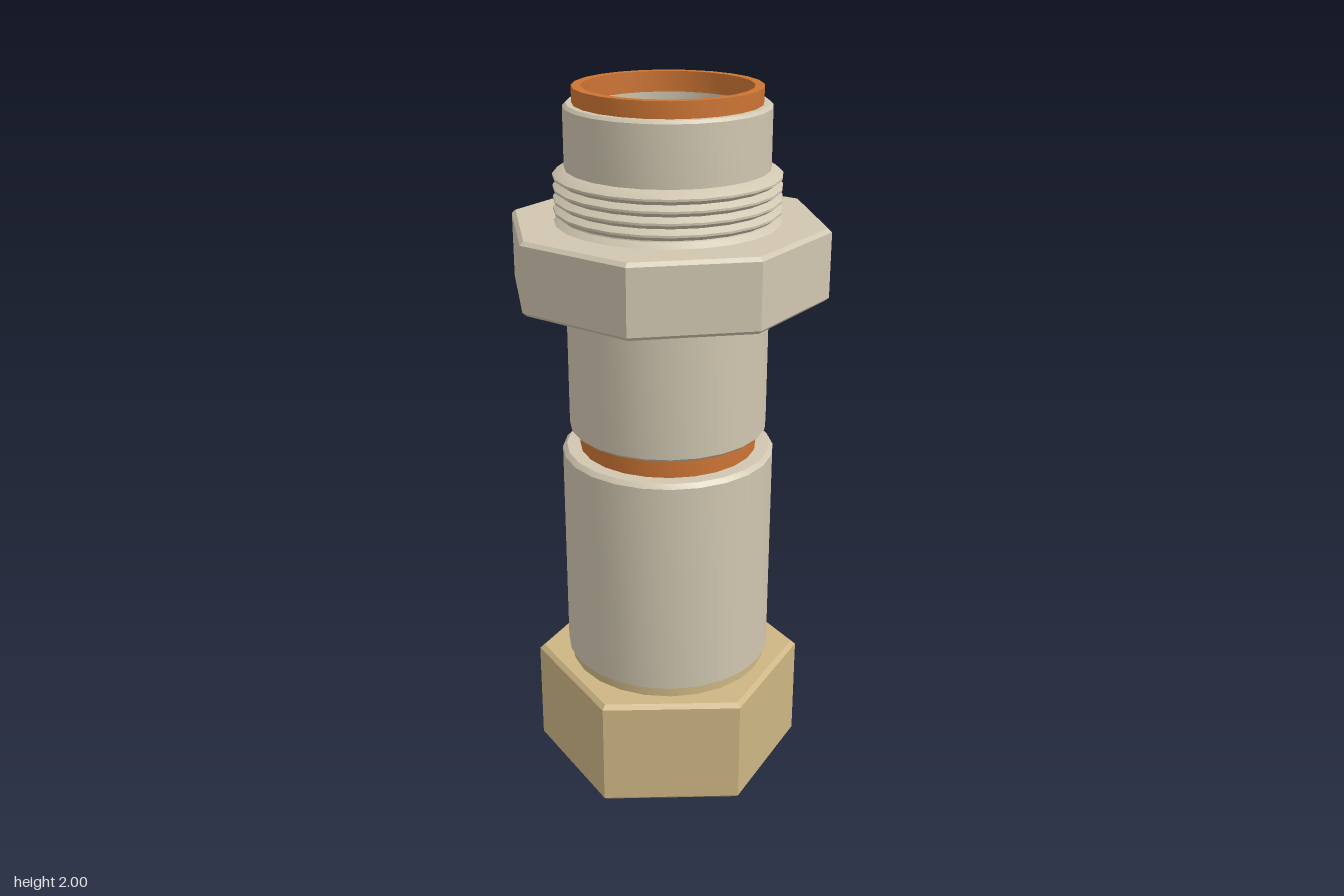
import * as THREE from 'three';
import { toCreasedNormals } from 'three/addons/utils/BufferGeometryUtils.js';

const material = (name, color) => {
  const m = new THREE.MeshStandardMaterial({ color });
  m.name = name;
  return m;
};

const CREASE = 0.5;
const SIDES = 24;

// Closed ring turned from a counter-clockwise [radius, height] profile
function turned(name, profile, mat) {
  const pts = [...profile, profile[0]].map(([r, y]) => new THREE.Vector2(r, y));
  const mesh = new THREE.Mesh(toCreasedNormals(new THREE.LatheGeometry(pts, SIDES), CREASE), mat);
  mesh.name = name;
  return mesh;
}

// Bevelled polygonal nut with a round hole, one corner pointing to +z
function nut(name, sides, radius, hole, y0, y1, bevel, mat) {
  const shape = new THREE.Shape();
  for (let i = 0; i < sides; i++) {
    const a = Math.PI / 2 + (i / sides) * Math.PI * 2;
    shape[i ? 'lineTo' : 'moveTo'](radius * Math.cos(a), radius * Math.sin(a));
  }
  shape.closePath();
  shape.holes.push(new THREE.Path().absarc(0, 0, hole, 0, Math.PI * 2, true));
  const geo = new THREE.ExtrudeGeometry(shape, {
    depth: y1 - y0 - 2 * bevel, curveSegments: SIDES / 2,
    bevelEnabled: true, bevelSegments: 1,
    bevelSize: bevel, bevelThickness: bevel, bevelOffset: -bevel,
  });
  geo.rotateX(-Math.PI / 2).translate(0, y0 + bevel, 0);
  const mesh = new THREE.Mesh(toCreasedNormals(geo, CREASE), mat);
  mesh.name = name;
  return mesh;
}

// Zigzag profile points of a thread, from y0 up to y1
function thread(root, crest, y0, y1, turns) {
  const pts = [];
  const pitch = (y1 - y0) / turns;
  for (let i = 0; i < turns; i++) {
    const y = y0 + i * pitch;
    pts.push([root, y], [crest, y + pitch * 0.4], [crest, y + pitch * 0.6]);
  }
  pts.push([root, y1]);
  return pts;
}

export function createModel() {
  const steel = material('warm grey metal', 0xd0c6b0);
  const brass = material('pale brass', 0xcdb684);
  const copper = material('copper', 0xcc7433);
  const group = new THREE.Group();
  group.name = 'pipeCoupling';

  // Hexagonal union nut with internal thread and collar
  group.add(nut('unionNut', 6, 0.39, 0.262, 0, 0.328, 0.012, brass));
  const inner = thread(0.26, 0.243, 0.02, 0.27, 7).reverse();
  group.add(turned('unionNutThread', [[0.264, 0.02], [0.264, 0.27], ...inner], brass));
  group.add(turned('nutCollar', [[0.255, 0.3], [0.29, 0.3], [0.29, 0.365], [0.255, 0.365]], brass));

  // Lower sleeve with its seating flange inside the nut
  group.add(turned('lowerSleeve', [
    [0.185, 0.28], [0.258, 0.28], [0.258, 0.36], [0.3, 0.36],
    [0.3, 0.988], [0.288, 1.0], [0.226, 1.0], [0.226, 0.34], [0.185, 0.34],
  ], steel));

  // Copper rings between the sleeves and at the mouth
  for (const [name, y0, y1] of [['middleRing', 0.99, 1.07], ['topRing', 1.945, 2]]) {
    group.add(turned(name, [[0.2255, y0], [0.25, y0], [0.25, y1], [0.2255, y1]], copper));
  }

  // Upper sleeve with external thread above the octagon
  group.add(turned('upperSleeve', [
    [0.227, 1.057], [0.27, 1.057], [0.278, 1.065], [0.278, 1.6],
    [0.305, 1.6], [0.305, 1.648], [0.288, 1.662],
    ...thread(0.287, 0.305, 1.665, 1.785, 4),
    [0.274, 1.79], [0.274, 1.949], [0.266, 1.957], [0.227, 1.957],
  ], steel));
  group.add(nut('octagonFlange', 8, 0.44, 0.26, 1.45, 1.648, 0.01, steel));

  return group;
}
